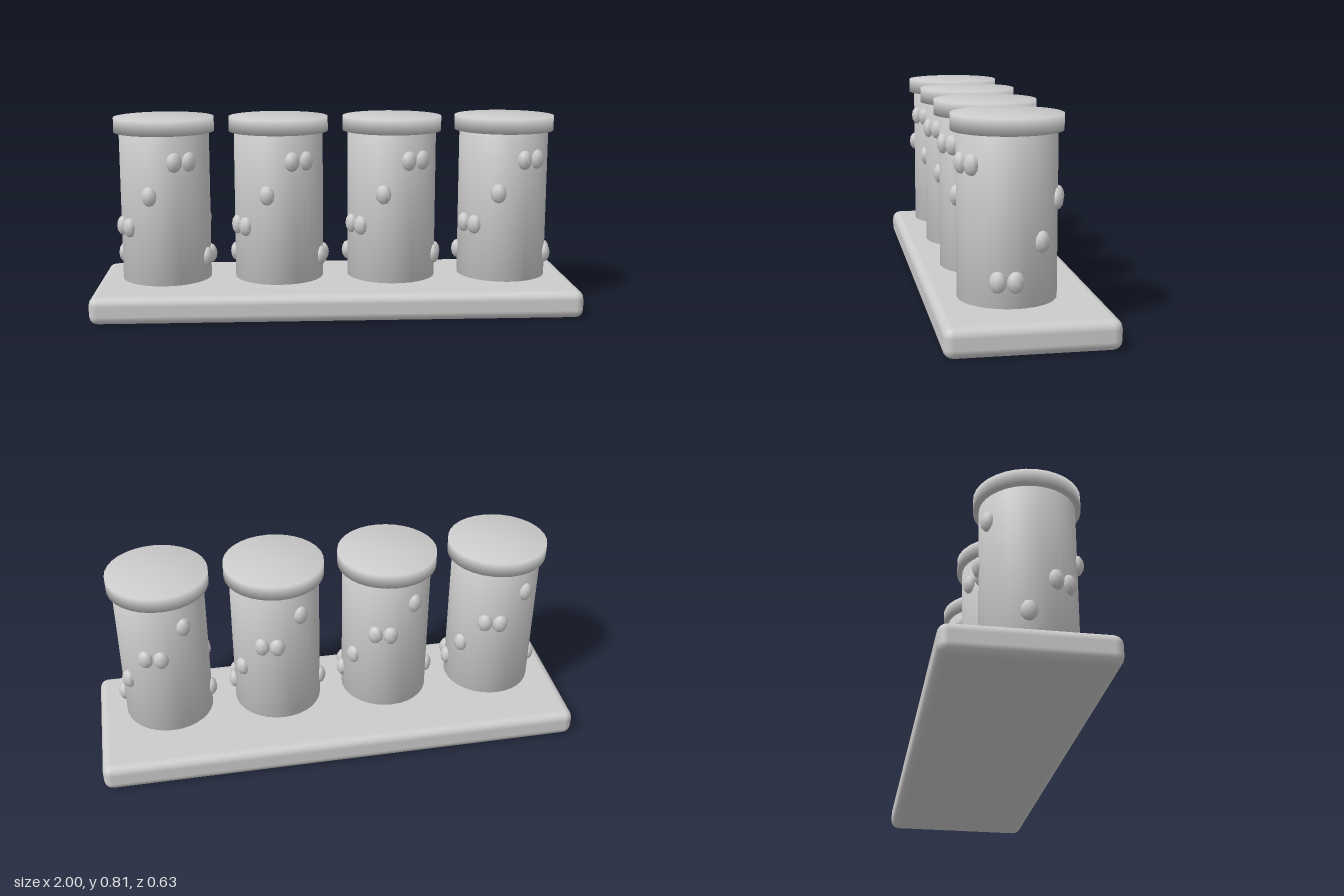
import * as THREE from 'three';
import { RoundedBoxGeometry } from 'three/addons/geometries/RoundedBoxGeometry.js';

const BODY_R = 0.183, CAP_R = 0.204;

// Closed, softly shaded drum between two heights
function drum(radius, y0, y1) {
  const profile = [[0, y0], [radius, y0], [radius, y1], [0, y1]];
  return new THREE.LatheGeometry(profile.map(([x, y]) => new THREE.Vector2(x, y)), 32);
}

export function createModel() {
  const model = new THREE.Group();
  model.name = 'pillarStand';
  const grey = new THREE.MeshStandardMaterial({ color: 0xcccccc });
  grey.name = 'lightGrey';

  const add = (parent, name, geometry) => {
    const mesh = new THREE.Mesh(geometry, grey);
    mesh.name = name;
    parent.add(mesh);
    return mesh;
  };

  // Rounded slab
  add(model, 'base', new RoundedBoxGeometry(2, 0.114, 0.632, 2, 0.036)).position.y = 0.057;

  const bodyGeometry = drum(BODY_R, 0.138, 0.747);
  const capGeometry = drum(CAP_R, 0.747, 0.807);
  const knobGeometry = new THREE.SphereGeometry(1, 8, 6).scale(0.032, 0.04, 0.025);

  // Four capped pillars
  [-0.705, -0.237, 0.232, 0.7].forEach((x, i) => {
    const pillar = new THREE.Group();
    pillar.name = `pillar${i + 1}`;
    pillar.position.set(x, 0, 0.045);
    model.add(pillar);
    add(pillar, 'body', bodyGeometry);
    add(pillar, 'cap', capGeometry);

    // Rows of knobs winding down: a close pair, and a single one opposite
    for (let row = 0; row < 4; row++) {
      const y = 0.64 - row * 0.1355;
      for (const offset of [-10, 10, 180]) {
        const a = THREE.MathUtils.degToRad(27 + row * 137.5 + offset);
        const knob = add(pillar, 'knob', knobGeometry);
        knob.position.set(BODY_R * Math.sin(a), y, BODY_R * Math.cos(a));
        knob.rotation.y = a;
      }
    }
  });

  return model;
}
